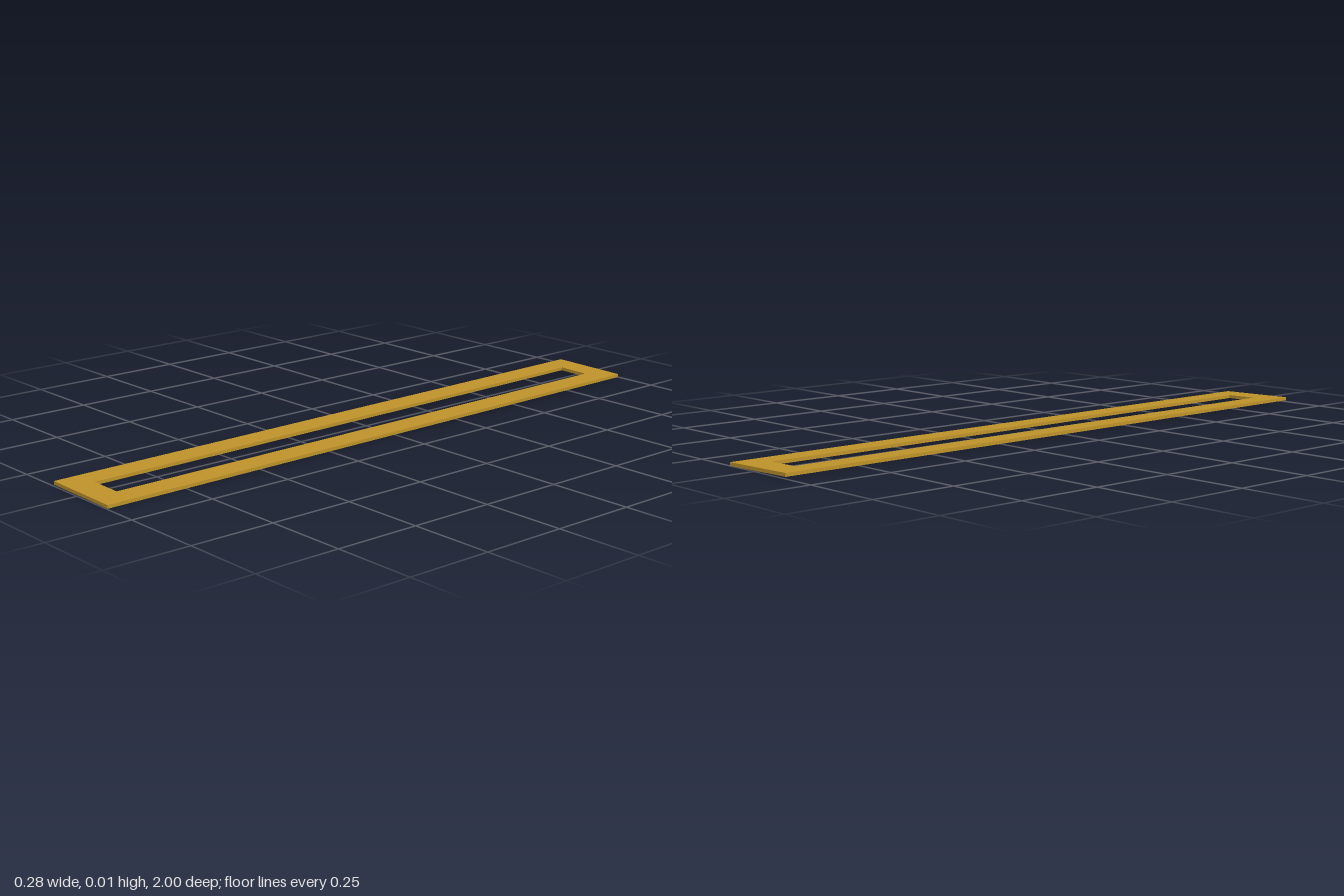
import * as THREE from 'three';

// Rectangle outline centred on the origin
function rect(path, w, l) {
  path.moveTo(-w / 2, -l / 2);
  path.lineTo(w / 2, -l / 2);
  path.lineTo(w / 2, l / 2);
  path.lineTo(-w / 2, l / 2);
  path.closePath();
  return path;
}

export function createModel() {
  const group = new THREE.Group();
  group.name = 'flatFrame';

  // Long thin plate with one rectangular opening
  const thickness = 0.01;
  const outline = rect(new THREE.Shape(), 0.25, 1.997);
  outline.holes.push(rect(new THREE.Path(), 0.102, 1.84));
  const geometry = new THREE.ExtrudeGeometry(outline, { depth: thickness, bevelEnabled: false });
  geometry.translate(0, 0, -thickness / 2);
  geometry.rotateX(-Math.PI / 2);

  // Slight sideways tilt and turn
  geometry.rotateZ(-0.018);
  geometry.rotateY(0.0127);

  // Rest the lowest corner on the ground
  geometry.computeBoundingBox();
  geometry.translate(0, -geometry.boundingBox.min.y, 0);

  const frame = new THREE.Mesh(geometry, new THREE.MeshStandardMaterial({ color: 0xc0942a }));
  frame.name = 'frame';
  group.add(frame);
  return group;
}
